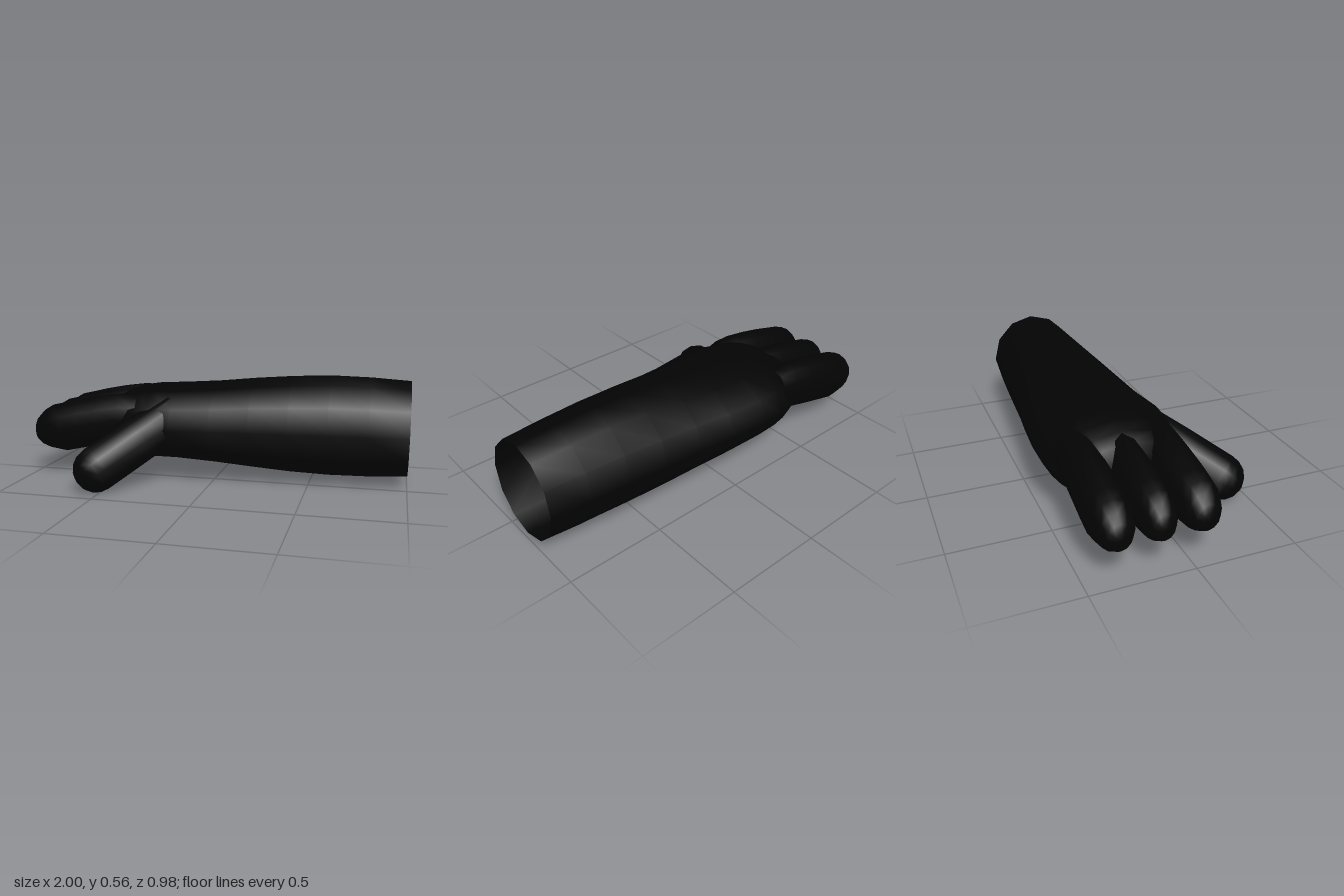
import * as THREE from 'three';

const SIDES = 12;

// Skin elliptical rings [x, centreY, radiusY, centreZ, radiusZ], listed from +x to -x
function loft(rings) {
  const pos = [], idx = [];
  for (const [x, cy, ry, cz, rz] of rings) {
    for (let j = 0; j < SIDES; j++) {
      const a = (j / SIDES) * Math.PI * 2;
      pos.push(x, cy + ry * Math.cos(a), cz + rz * Math.sin(a));
    }
  }
  for (let i = 0; i < rings.length - 1; i++) {
    for (let j = 0; j < SIDES; j++) {
      const a = i * SIDES + j, b = i * SIDES + ((j + 1) % SIDES);
      idx.push(a, a + SIDES, b, b, a + SIDES, b + SIDES);
    }
  }
  // Close the far end
  const [x, cy, , cz] = rings[rings.length - 1];
  const tip = pos.length / 3, last = tip - SIDES;
  pos.push(x, cy, cz);
  for (let j = 0; j < SIDES; j++) idx.push(last + j, tip, last + ((j + 1) % SIDES));
  const geo = new THREE.BufferGeometry();
  geo.setAttribute('position', new THREE.Float32BufferAttribute(pos, 3));
  geo.setIndex(idx);
  geo.computeVertexNormals();
  return geo;
}

export function createModel() {
  const group = new THREE.Group();
  const black = new THREE.MeshStandardMaterial({ color: 0x030303, side: THREE.DoubleSide });
  black.name = 'black';

  const add = (name, geo) => {
    const mesh = new THREE.Mesh(geo, black);
    mesh.name = name;
    group.add(mesh);
    return mesh;
  };

  // Forearm sleeve, open at the elbow, flattening into the palm
  add('forearmAndPalm', loft([
    [1.0, 0.293, 0.252, -0.153, 0.238],
    [0.8, 0.292, 0.265, -0.155, 0.253],
    [0.6, 0.292, 0.269, -0.156, 0.268],
    [0.4, 0.292, 0.260, -0.156, 0.286],
    [0.2, 0.293, 0.243, -0.155, 0.304],
    [0.0, 0.293, 0.222, -0.154, 0.326],
    [-0.2, 0.296, 0.206, -0.144, 0.352],
    [-0.33, 0.293, 0.203, -0.142, 0.344],
    [-0.42, 0.288, 0.194, -0.140, 0.325],
    [-0.5, 0.283, 0.176, -0.138, 0.295],
    [-0.56, 0.283, 0.145, -0.14, 0.25],
    [-0.6, 0.288, 0.10, -0.145, 0.18],
  ]));

  // Three blunt fingers drooping slightly: [x, centreY, radiusY, width factor]
  const profile = [
    [-0.4, 0.335, 0.118, 0.9],
    [-0.5, 0.328, 0.127, 0.94],
    [-0.62, 0.305, 0.134, 0.97],
    [-0.74, 0.28, 0.136, 1],
    [-0.83, 0.259, 0.135, 1],
    [-0.9, 0.256, 0.122, 0.92],
    [-0.95, 0.25, 0.098, 0.77],
    [-0.985, 0.243, 0.066, 0.54],
    [-1.0, 0.24, 0.035, 0.28],
  ];
  const fingers = [
    ['frontFinger', 0.05, 0.106],
    ['middleFinger', -0.152, 0.096],
    ['backFinger', -0.352, 0.105],
  ];
  for (const [name, z, w] of fingers) {
    add(name, loft(profile.map(([x, y, ry, k]) => [x, y, ry, z, w * k])));
  }

  // Thumb: a round-ended tube along -x, turned outward and down
  const base = new THREE.Vector3(-0.22, 0.345, 0.02);
  const end = new THREE.Vector3(-0.52, 0.12, 0.37);
  const len = base.distanceTo(end), r = 0.12;
  const rings = [[0, 0, r, 0, r], [-len * 0.5, 0, r * 1.02, 0, r * 1.02]];
  for (let i = 0; i <= 4; i++) {
    const a = (i / 4) * Math.PI * 0.46;
    rings.push([-len - r * Math.sin(a), 0, r * Math.cos(a), 0, r * Math.cos(a)]);
  }
  const thumb = add('thumb', loft(rings));
  thumb.position.copy(base);
  thumb.quaternion.setFromUnitVectors(new THREE.Vector3(-1, 0, 0), end.clone().sub(base).normalize());

  return group;
}
